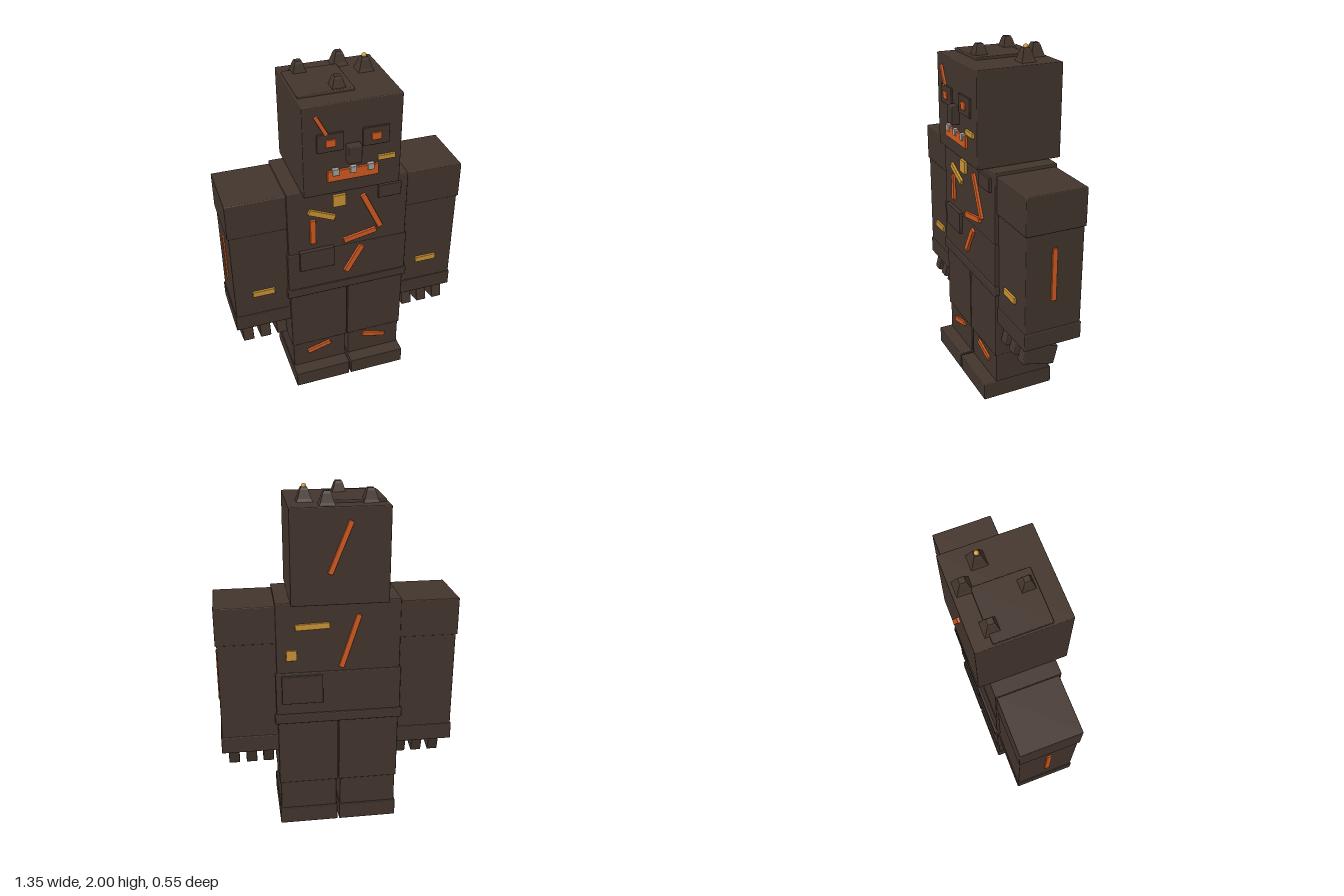
import * as THREE from 'three';
import { RoundedBoxGeometry } from 'three/addons/geometries/RoundedBoxGeometry.js';

const mat = (name, color) => new THREE.MeshStandardMaterial({ name, color });

export function createModel() {
  const model = new THREE.Group();
  model.name = 'blockGolem';
  const brown = mat('dark brown', 0x43352d);
  const orange = mat('ember orange', 0xd25a20);
  const gold = mat('gold', 0xcb9433);
  const grey = mat('tooth grey', 0xa6a098);

  const add = (name, geometry, material, x, y, z) => {
    const mesh = new THREE.Mesh(geometry, material);
    mesh.name = name;
    mesh.position.set(x, y, z);
    model.add(mesh);
    return mesh;
  };
  // Slightly bevelled block given by its extents
  const block = (name, x0, x1, y0, y1, z0, z1, material = brown, bevel = 0.005) =>
    add(name, new RoundedBoxGeometry(x1 - x0, y1 - y0, z1 - z0, 1, bevel), material,
      (x0 + x1) / 2, (y0 + y1) / 2, (z0 + z1) / 2);
  // Thin raised plate on a front or back surface, turned by an angle in degrees
  const plate = (name, x, y, z, w, h, angle, material, depth = 0.026) => {
    const mesh = add(name, new RoundedBoxGeometry(w, h, depth, 1, 0.003), material, x, y, z);
    mesh.rotation.z = THREE.MathUtils.degToRad(angle);
    return mesh;
  };

  // Head and torso
  block('head', -0.265, 0.265, 1.39, 1.91, -0.262, 0.23);
  block('crownPlate', -0.255, 0.045, 1.9, 1.925, -0.17, 0.13);
  block('chest', -0.345, 0.345, 0.96, 1.39, -0.2, 0.168);
  block('belly', -0.353, 0.353, 0.7, 0.985, -0.205, 0.172);
  block('belt', -0.362, 0.362, 0.68, 0.735, -0.22, 0.18);

  // Stubby four-sided spikes on the crown
  const spikeShape = [[0, 0.072], [0.016, 0.072], [0.023, 0.058], [0.036, 0.015], [0.043, 0]]
    .reverse().map(([r, y]) => new THREE.Vector2(r * Math.SQRT2, y));
  const spikeGeometry = new THREE.LatheGeometry(spikeShape, 4, Math.PI / 4).toNonIndexed();
  spikeGeometry.computeVertexNormals();
  for (const [x, z] of [[-0.17, -0.15], [0.065, -0.2], [0.17, -0.09], [-0.035, 0.08]]) {
    add('crownSpike', spikeGeometry, brown, x, 1.91, z);
  }
  add('nailShaft', new THREE.CylinderGeometry(0.008, 0.008, 0.03, 8), gold, 0.17, 1.98, -0.09);
  add('nailHead', new THREE.SphereGeometry(0.014, 10, 8), gold, 0.17, 1.986, -0.09);

  // Face
  for (const s of [-1, 1]) {
    plate('eyeSocket', s * 0.122, 1.7, 0.228, 0.143, 0.103, 0, brown);
    plate('eye', s * 0.122, 1.7, 0.236, 0.053, 0.042, 0, orange);
  }
  block('nose', -0.037, 0.037, 1.575, 1.675, 0.22, 0.272);
  plate('mouth', 0, 1.502, 0.23, 0.28, 0.064, 0, orange);
  for (const x of [-0.096, 0, 0.096]) plate('tooth', x, 1.526, 0.238, 0.036, 0.038, 0, grey);
  plate('cheekStaple', 0.183, 1.565, 0.23, 0.097, 0.028, 0, gold);
  plate('browCrack', -0.17, 1.8, 0.23, 0.118, 0.022, -62, orange);
  plate('headBackCrack', 0, 1.7, -0.262, 0.3, 0.028, -68, orange);

  // Patches and cracks on the front of the torso
  const front = 0.17;
  plate('chestPatch', 0.235, 1.31, front, 0.133, 0.08, 0, brown);
  plate('bellyPatch', -0.187, 0.937, front + 0.008, 0.2, 0.13, 0, brown);
  plate('chestStud', -0.053, 1.3, front, 0.073, 0.073, 0, gold);
  plate('chestStaple', -0.153, 1.226, front, 0.162, 0.034, -24, gold);
  for (const [x, y, length, angle] of [
    [-0.205, 1.123, 0.155, 90], [0.135, 1.19, 0.258, -65], [0.068, 1.04, 0.195, 11],
  ]) plate('chestCrack', x, y, front, length, 0.032, angle, orange);
  plate('bellyCrack', 0.033, 0.885, front + 0.006, 0.19, 0.032, 60, orange);

  // Patches and cracks on the back of the torso
  const back = -0.2;
  plate('backStaple', 0.145, 1.255, back, 0.19, 0.035, -2, gold);
  plate('backStud', 0.262, 1.09, back, 0.06, 0.06, 0, gold);
  plate('backCrack', -0.063, 1.16, back, 0.32, 0.03, 108, orange);
  plate('backPatch', 0.205, 0.885, back - 0.008, 0.23, 0.165, 0, brown);

  // Arms and legs, mirrored
  for (const s of [-1, 1]) {
    const side = (name, x0, x1, ...rest) =>
      block(name, Math.min(s * x0, s * x1), Math.max(s * x0, s * x1), ...rest);
    side('shoulder', 0.335, 0.672, 1.16, 1.373, -0.193, 0.155);
    side('arm', 0.34, 0.664, 0.59, 1.17, -0.186, 0.148);
    side('cuff', 0.335, 0.67, 0.5, 0.6, -0.19, 0.152);
    side('armCrack', 0.655, 0.673, 0.77, 1.07, -0.03, 0, orange, 0.003);
    plate('armStaple', s * 0.496, 0.75, 0.148, 0.128, 0.036, 0, gold);
    for (const x of [0.4, 0.5, 0.603]) {
      const finger = add('finger', new RoundedBoxGeometry(0.063, 0.112, 0.197, 1, 0.005),
        brown, s * x, 0.428, 0.035);
      finger.rotation.x = -0.246;
    }
    side('thigh', 0.002, 0.346, 0.28, 0.7, -0.2, 0.165);
    side('shin', 0.01, 0.34, 0.09, 0.29, -0.19, 0.156);
    side('foot', 0.005, 0.346, 0, 0.102, -0.2, 0.235);
    plate('shinCrack', s * 0.178, 0.225, 0.156, 0.152, 0.03, s * -16, orange);
  }
  return model;
}
